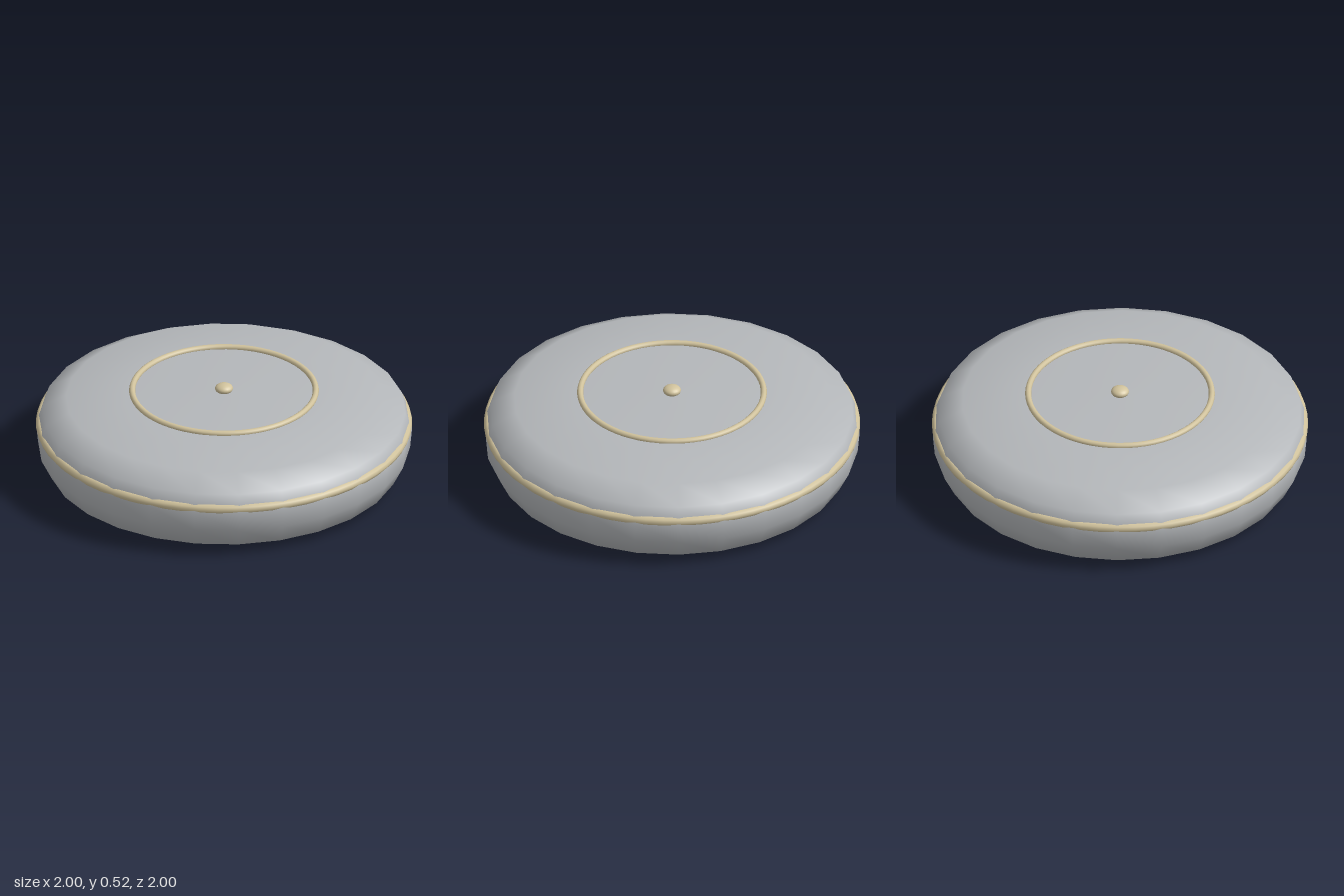
import * as THREE from 'three';

export function createModel() {
  const group = new THREE.Group();
  const fabric = new THREE.MeshStandardMaterial({ color: 0xb4b7ba, side: THREE.DoubleSide });
  fabric.name = 'greyFabric';
  const piping = new THREE.MeshStandardMaterial({ color: 0xd0c29c });
  piping.name = 'beigePiping';

  const add = (name, geometry, material, y = 0) => {
    const mesh = new THREE.Mesh(geometry, material);
    mesh.name = name;
    mesh.position.y = y;
    group.add(mesh);
    return mesh;
  };
  const hoop = (radius, tube, segments) =>
    new THREE.TorusGeometry(radius, tube, 10, segments).rotateX(Math.PI / 2);

  // Hollow cushion shell, open underneath, profile from the bottom hole to the top centre
  const profile = [
    [0.43, 0], [0.8, 0.018], [0.935, 0.055], [0.99, 0.165], [1, 0.275],
    [0.965, 0.37], [0.84, 0.44], [0.5, 0.48], [0, 0.484],
  ].map(([r, y]) => new THREE.Vector2(r, y));
  add('cushionShell', new THREE.LatheGeometry(profile, 26, Math.PI / 2), fabric);

  // Piping around the side and on the top
  add('sideSeam', hoop(0.973, 0.027, 64), piping, 0.292);
  add('topRing', hoop(0.488, 0.0165, 64), piping, 0.485);

  // Flattened button in the middle of the top
  add('topButton', new THREE.SphereGeometry(0.048, 20, 14), piping, 0.498).scale.y = 0.56;

  return group;
}
